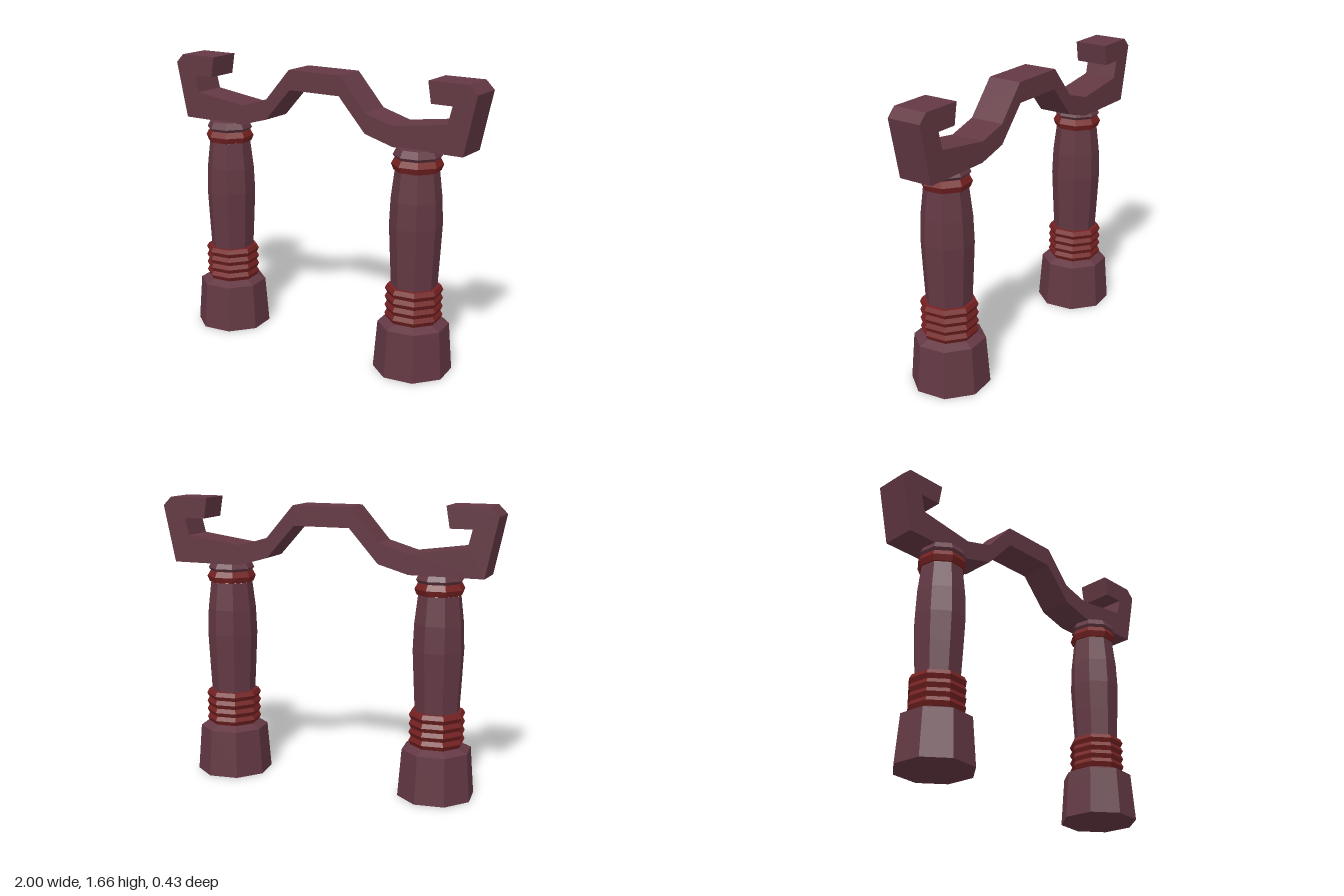
import * as THREE from 'three';

const wood = new THREE.MeshStandardMaterial({ name: 'plum wood', color: 0x633843, flatShading: true });
const red = new THREE.MeshStandardMaterial({ name: 'dark red', color: 0x752121, flatShading: true });

// Eight-sided turned part from [radius, height] pairs, bottom to top
function turned(name, profile, material) {
  const points = profile.map(([r, y]) => new THREE.Vector2(r, y));
  const geometry = new THREE.LatheGeometry(points, 8, THREE.MathUtils.degToRad(29));
  const mesh = new THREE.Mesh(geometry, material);
  mesh.name = name;
  return mesh;
}

function createColumn(name, x) {
  const column = new THREE.Group();
  column.name = name;

  // Four stacked ridges above the base
  const ridges = [[0.15, 0.302]];
  for (let i = 0; i < 4; i++) {
    const y = 0.302 + i * 0.05;
    ridges.push([0.163, y + 0.025], [0.15, y + 0.05]);
  }
  ridges.unshift([0.1, 0.302]);
  ridges.push([0.12, 0.502]);

  column.add(
    turned('base', [[0, 0], [0.223, 0], [0.201, 0.275], [0.135, 0.305], [0, 0.305]], wood),
    turned('lowerRings', ridges, red),
    turned('shaft', [[0.129, 0.49], [0.139, 0.68], [0.147, 0.85], [0.141, 1.0], [0.122, 1.16]], wood),
    turned('upperRing', [[0.11, 1.16], [0.13, 1.162], [0.143, 1.195], [0.125, 1.228], [0.1, 1.228]], red),
    turned('capital', [[0.118, 1.222], [0.135, 1.245], [0.115, 1.284], [0, 1.284]], wood),
  );
  column.position.x = x;
  return column;
}

// Bent crossbeam with hooked ends, drawn as half an outline and mirrored
function createBeam() {
  const half = [
    [0.165, 1.52], [0.335, 1.33], [0.51, 1.28], [0.93, 1.28], [1, 1.61], [0.95, 1.66], [0.715, 1.66],
    [0.735, 1.54], [0.86, 1.54], [0.835, 1.44], [0.505, 1.395], [0.335, 1.445], [0.17, 1.635],
  ];
  const mirrored = half.map(([x, y]) => [-x, y]).reverse();
  const shape = new THREE.Shape([...half, ...mirrored].map(([x, y]) => new THREE.Vector2(x, y)));
  const geometry = new THREE.ExtrudeGeometry(shape, { depth: 0.2, bevelEnabled: false });
  geometry.translate(0, 0, -0.145);
  const beam = new THREE.Mesh(geometry, wood);
  beam.name = 'crossbeam';
  return beam;
}

export function createModel() {
  const model = new THREE.Group();
  model.name = 'gateway';
  model.add(createColumn('rightColumn', -0.648), createColumn('leftColumn', 0.637), createBeam());
  return model;
}
